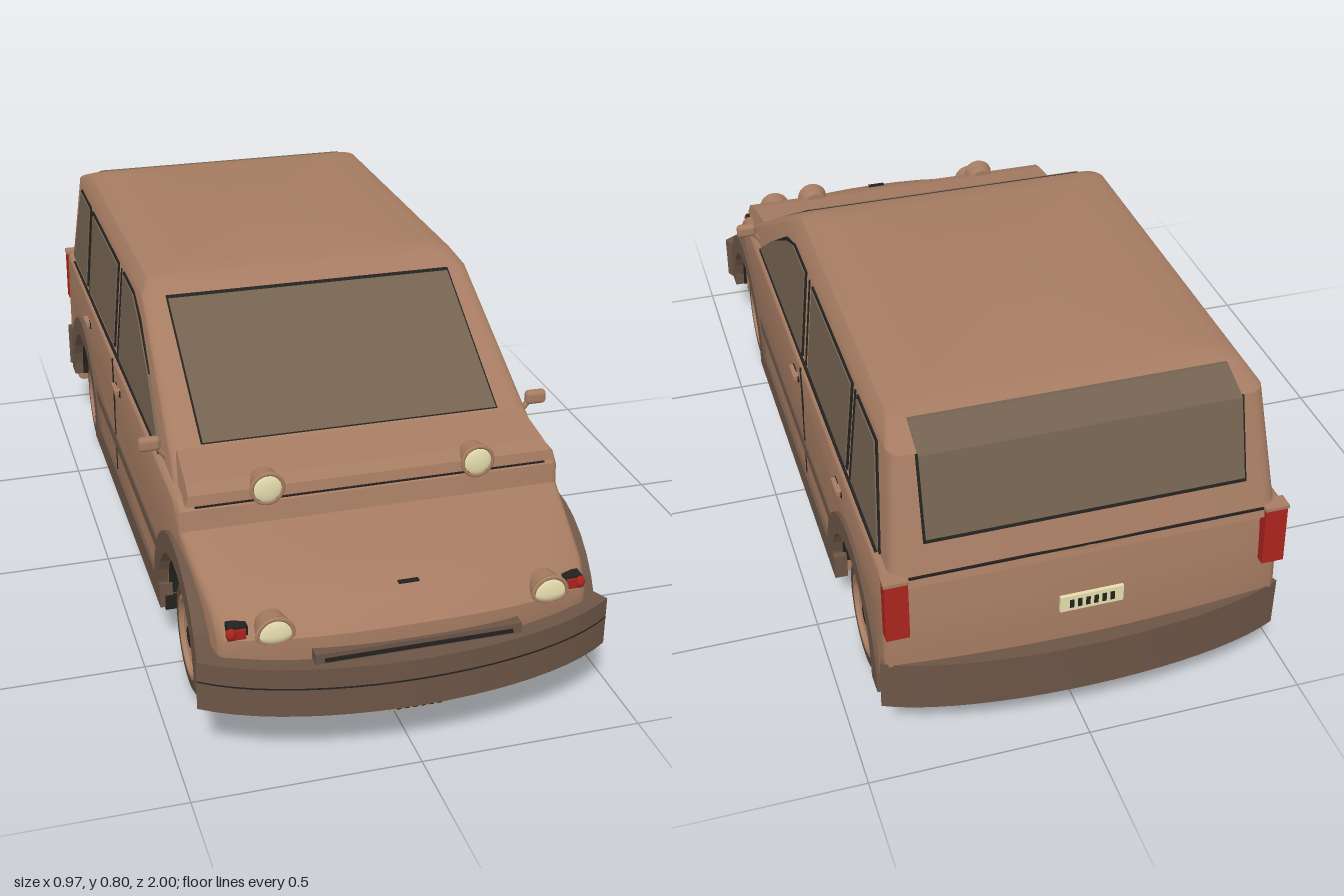
import * as THREE from 'three';
import { toCreasedNormals } from 'three/addons/utils/BufferGeometryUtils.js';
import { RoundedBoxGeometry } from 'three/addons/geometries/RoundedBoxGeometry.js';

const paint = (name, color, side = THREE.FrontSide) => {
  const m = new THREE.MeshStandardMaterial({ color, side });
  m.name = name;
  return m;
};

export function createModel() {
  const car = new THREE.Group();
  car.name = 'van';
  const tan = paint('tan paint', 0xa67c62), trim = paint('brown trim', 0x6c5546);
  const glass = paint('smoked glass', 0x736250), black = paint('black rubber', 0x232220, THREE.DoubleSide);
  const cream = paint('cream lens', 0xe8dfb0), red = paint('red lens', 0xa8241c);
  const tyreMat = paint('tyre', 0x5e4c3e);

  const add = (name, geo, mat, x = 0, y = 0, z = 0, parent = car) => {
    const m = new THREE.Mesh(geo, mat);
    m.name = name;
    m.position.set(x, y, z);
    parent.add(m);
    return m;
  };
  const box = (name, w, h, d, mat, x, y, z) => add(name, new THREE.BoxGeometry(w, h, d), mat, x, y, z);
  const shapeOf = (pts) => new THREE.Shape(pts.map(([a, b]) => new THREE.Vector2(a, b)));
  const bend = (geo, rule) => {
    const p = geo.attributes.position, v = new THREE.Vector3();
    for (let i = 0; i < p.count; i++) {
      rule(v.fromBufferAttribute(p, i));
      p.setXYZ(i, v.x, v.y, v.z);
    }
    geo.computeVertexNormals();
    return geo;
  };
  const extrude = (shape, depth) => new THREE.ExtrudeGeometry(shape, { depth, bevelEnabled: false, curveSegments: 20 });
  const rect = (a0, a1, b0, b1) => [[a0, b0], [a1, b0], [a1, b1], [a0, b1]];

  // Wheel positions along z, and the lower shell cut by two arches
  const wheelZ = [0.62, -0.65], wheelY = 0.15, archR = 0.19;
  const arch = (zc, r) => Array.from({ length: 17 }, (_, i) => {
    const a = Math.PI * (1 - i / 16);
    return [zc + r * Math.cos(a), wheelY + r * Math.sin(a)];
  });
  const outline = [[0.81, 0.135], [0.93, 0.14], [0.955, 0.26], [0.952, 0.32], [0.9, 0.367], [0.8, 0.4],
    [0.65, 0.432], [0.64, 0.475], [0.6, 0.492], [0.2, 0.5], [-0.3, 0.5], [-0.94, 0.505], [-0.955, 0.4],
    [-0.965, 0.28], [-0.95, 0.15], [-0.84, 0.13],
    ...arch(wheelZ[1], archR), [-0.46, 0.115], [0.43, 0.115], ...arch(wheelZ[0], archR)];
  const half = 0.44;
  const bodyGeo = new THREE.ExtrudeGeometry(shapeOf(outline), {
    depth: 2 * half - 0.03, steps: 12, bevelThickness: 0.015, bevelSize: 0.015, bevelOffset: -0.015, bevelSegments: 3 });
  bodyGeo.rotateY(-Math.PI / 2).translate(half - 0.015, 0, 0);
  bend(bodyGeo, (v) => {
    const a = Math.min(1, Math.abs(v.x) / half);
    if (v.z > 0.6) {
      const t = (v.z - 0.6) / 0.35;
      v.x *= 1 - 0.07 * t;
      v.z -= 0.075 * t * a ** 2.5;
      if (v.y > 0.3) v.y -= 0.02 * a * a * Math.min(1, t * 2);
    } else if (v.z < -0.86) v.z += 0.025 * a * a;
  });
  add('lowerBody', toCreasedNormals(bodyGeo, 0.6), tan);

  // Cabin lofted from rounded rectangles: y, front z, rear z, half width
  const levels = [[0.48, 0.587, -0.945, 0.427], [0.52, 0.52, -0.933, 0.422], [0.755, 0.128, -0.866, 0.402],
    [0.785, 0.078, -0.785, 0.38], [0.793, 0.055, -0.755, 0.35], [0.798, 0, -0.72, 0.28]];
  const pos = [], idx = [], n = 24;
  for (const [y, zf, zb, hw] of levels) {
    for (let j = 0; j < n; j++) {
      const q = Math.floor(j / 6), ang = (q + (j % 6) / 5) * Math.PI / 2, r = 0.035;
      const sx = q === 0 || q === 3 ? 1 : -1;
      pos.push(sx * (hw - r) + r * Math.cos(ang), y, (q < 2 ? zf - r : zb + r) + r * Math.sin(ang));
    }
  }
  for (let i = 0; i < levels.length - 1; i++) {
    for (let j = 0; j < n; j++) {
      const a = i * n + j, b = i * n + (j + 1) % n;
      idx.push(a, a + n, b, b, a + n, b + n);
    }
  }
  const top = (levels.length - 1) * n, mid = levels.length * n;
  pos.push(0, 0.801, -0.35);
  for (let j = 0; j < n; j++) idx.push(mid, top + (j + 1) % n, top + j);
  const cabin = new THREE.BufferGeometry();
  cabin.setAttribute('position', new THREE.Float32BufferAttribute(pos, 3));
  cabin.setIndex(idx);
  add('cabin', toCreasedNormals(cabin, 0.55), tan);

  // Cowl shelf ahead of the windscreen
  const cowl = extrude(shapeOf([[0.64, 0.485], [0.635, 0.508], [0.6, 0.52], [0.485, 0.543], [0.4, 0.49]]), 0.84);
  cowl.rotateY(-Math.PI / 2).translate(0.42, 0, 0);
  add('cowl', bend(cowl, (v) => { v.x *= 1 - 0.6 * Math.max(0, v.y - 0.485); }), tan);
  box('cowlGap', 0.8, 0.004, 0.01, black, 0, 0.482, 0.636);

  // Plates following the side (points are z, y), the front or the rear (points are x, y)
  const cabinX = (y) => 0.427 - 0.091 * (y - 0.48);
  const sidePlate = (name, s, pts, mat, thick, xOf) => {
    const g = extrude(shapeOf(pts.map(([z, y]) => [-s * z, y])), thick).rotateY(s * Math.PI / 2);
    return add(name, bend(g, (v) => { v.x += s * xOf(v.y); }), mat);
  };
  const endPlate = (name, s, pts, mat, thick, zOf) => {
    const g = extrude(shapeOf(pts), thick);
    if (s < 0) g.rotateY(Math.PI);
    return add(name, bend(g, (v) => { v.z += zOf(v.y); }), mat);
  };

  // Windscreen and rear window with seals
  const screenZ = (y) => 0.47 - (y - 0.55) / 0.6;
  endPlate('windscreenSeal', 1, rect(-0.349, 0.349, 0.547, 0.761), black, 0.004, screenZ);
  endPlate('windscreen', 1, rect(-0.345, 0.345, 0.55, 0.757), glass, 0.008, screenZ);
  const rearZ = (y) => (y <= 0.755 ? -0.866 - (0.755 - y) * 0.287 : -0.866 + (y - 0.755) * 2.7);
  endPlate('rearWindowSeal', -1, rect(-0.35, 0.35, 0.57, 0.755), black, 0.004, rearZ);
  endPlate('rearWindow', -1, rect(-0.345, 0.345, 0.58, 0.753), glass, 0.008, rearZ);
  endPlate('rearWindowTop', -1, rect(-0.345, 0.345, 0.755, 0.785), glass, 0.009, rearZ);

  const frontWindow = [[0.4, 0.508], [-0.11, 0.512], [-0.11, 0.732], [0.02, 0.732], [0.1, 0.7], [0.25, 0.615]];
  const windows = [frontWindow, rect(-0.57, -0.19, 0.518, 0.732),
    [[-0.625, 0.518], [-0.855, 0.518], [-0.775, 0.732], [-0.625, 0.732]]];
  const grow = (pts) => {
    const c = pts.reduce((a, p) => [a[0] + p[0] / pts.length, a[1] + p[1] / pts.length], [0, 0]);
    return pts.map(([z, y]) => [z + Math.sign(z - c[0]) * 0.008, y + Math.sign(y - c[1]) * 0.006]);
  };

  // Wheel profiles: radius, offset along the axle
  const lathe = (pts) => toCreasedNormals(
    new THREE.LatheGeometry(pts.map(([r, h]) => new THREE.Vector2(r, h)), 32).rotateZ(-Math.PI / 2), 0.6);
  const tyre = lathe([[0, -0.055], [0.12, -0.055], [0.137, -0.045], [0.144, -0.025], [0.144, 0.03], [0.137, 0.05],
    [0.122, 0.058], [0.098, 0.056], [0.09, 0.04], [0, 0.04]]);
  const rim = lathe([[0.1, 0.054], [0.096, 0.06], [0.087, 0.06], [0.083, 0.04]]);
  const hub = lathe([[0.077, 0.035], [0.074, 0.05], [0.058, 0.055], [0.048, 0.05], [0, 0.05]]);
  const cap = lathe([[0.024, 0.045], [0.024, 0.056], [0, 0.058]]);
  const lens = new THREE.SphereGeometry(1, 24, 14);

  for (const s of [1, -1]) {
    const side = s > 0 ? 'left' : 'right';
    windows.forEach((w, i) => {
      sidePlate(`${side}WindowSeal${i + 1}`, s, grow(w), black, 0.004, cabinX);
      sidePlate(`${side}Window${i + 1}`, s, w, glass, 0.007, cabinX);
    });
    // Door seams, handles, belt line, side stripe and sill
    for (const z of [-0.15, -0.598]) sidePlate(`${side}PillarSeam`, s, rect(z - 0.003, z + 0.003, 0.5, 0.735), black, 0.003, cabinX);
    box(`${side}DoorSeam`, 0.004, 0.32, 0.005, black, s * half, 0.335, -0.15);
    box(`${side}BeltLine`, 0.006, 0.006, 1.25, black, s * 0.43, 0.501, -0.22);
    for (const z of [-0.085, -0.54]) {
      box(`${side}HandleRecess`, 0.004, 0.017, 0.06, black, s * 0.44, 0.437, z);
      box(`${side}Handle`, 0.014, 0.011, 0.054, tan, s * 0.445, 0.44, z);
    }
    box(`${side}Stripe`, 0.01, 0.03, 0.86, trim, s * 0.439, 0.265, -0.015);
    box(`${side}Sill`, 0.03, 0.062, 0.92, trim, s * 0.432, 0.149, -0.02);
    box(`${side}MudFlap`, 0.2, 0.036, 0.012, black, s * 0.335, 0.13, 0.438);

    // Wheels, flares and arch liners
    wheelZ.forEach((z, i) => {
      const name = side + (i ? 'Rear' : 'Front');
      const ring = [...arch(z, 0.24), ...arch(z, archR).reverse()];
      sidePlate(`${name}Flare`, s, ring, trim, 0.045, () => 0.403);
      const liner = new THREE.CylinderGeometry(0.187, 0.187, 0.16, 24, 1, true, 0, Math.PI);
      add(`${name}Liner`, liner.rotateZ(Math.PI / 2), black, s * 0.345, wheelY, z);
      sidePlate(`${name}LinerWall`, s, arch(z, 0.187), black, 0.006, () => 0.262);
      const wheel = new THREE.Group();
      wheel.name = `${name}Wheel`;
      wheel.position.set(s * 0.362, wheelY - 0.003, z);
      wheel.rotation.y = s > 0 ? 0 : Math.PI;
      add('tyre', tyre, tyreMat, 0, 0, 0, wheel);
      add('rim', rim, tan, 0, 0, 0, wheel);
      add('hub', hub, tan, 0, 0, 0, wheel);
      add('hubCap', cap, black, 0, 0, 0, wheel);
      car.add(wheel);
    });

    // Round upper lamps and headlamps with a flattened lower edge
    const lamp = (name, x, y, z, r, len, flat) => {
      const squash = (g) => bend(g, (v) => { if (v.y < 0) v.y *= flat; });
      const shell = new THREE.CylinderGeometry(r, r * 0.8, len, 28).rotateX(Math.PI / 2);
      add(`${name}Shell`, squash(shell), tan, s * x, y, z - len / 2);
      add(`${name}Rim`, squash(new THREE.TorusGeometry(r - 0.003, 0.005, 8, 28)), tan, s * x, y, z);
      add(`${name}Lens`, squash(lens.clone().scale(r * 0.87, r * 0.87, 0.008)), cream, s * x, y, z);
    };
    lamp(`${side}UpperLamp`, 0.24, 0.505, 0.638, 0.038, 0.045, 1);
    lamp(`${side}Headlamp`, 0.3, 0.328, 0.928, 0.041, 0.05, 0.5);
    box(`${side}MarkerBase`, 0.042, 0.03, 0.03, black, s * 0.37, 0.32, 0.877);
    box(`${side}Marker`, 0.026, 0.022, 0.03, red, s * 0.367, 0.32, 0.883);
    add(`${side}MarkerBulb`, lens, red, s * 0.385, 0.321, 0.892).scale.set(0.011, 0.014, 0.012);
    box(`${side}TailLamp`, 0.05, 0.14, 0.03, red, s * 0.416, 0.43, -0.94).rotation.x = 0.06;
    box(`${side}TailLampCap`, 0.054, 0.008, 0.036, tan, s * 0.416, 0.503, -0.936);

    // Mirror on a slanted stalk
    const path = new THREE.LineCurve3(new THREE.Vector3(s * 0.41, 0.495, 0.44), new THREE.Vector3(s * 0.445, 0.54, 0.44));
    add(`${side}MirrorStalk`, new THREE.TubeGeometry(path, 1, 0.007, 8), tan);
    add(`${side}Mirror`, new RoundedBoxGeometry(0.05, 0.033, 0.024, 3, 0.01), tan, s * 0.458, 0.545, 0.44);
  }

  // Curved bumpers, drawn in plan
  const bumper = (name, endZ, pull, depth, y0, y1, s, mat, w = 0.458) => {
    const p = new THREE.Shape();
    p.moveTo(-w, endZ);
    p.bezierCurveTo(-0.25, pull, 0.25, pull, w, endZ);
    p.lineTo(w - 0.03, endZ - depth);
    p.bezierCurveTo(0.25, pull - depth, -0.25, pull - depth, 0.03 - w, endZ - depth);
    const g = extrude(p, y1 - y0).rotateX(Math.PI / 2).translate(0, y1, 0);
    add(name, toCreasedNormals(g, 0.6), mat).rotation.y = s > 0 ? 0 : Math.PI;
  };
  bumper('frontBumper', 0.885, 1.034, 0.06, 0.147, 0.262, 1, trim);
  bumper('frontBumperGroove', 0.886, 1.036, 0.02, 0.213, 0.216, 1, black);
  bumper('rearBumper', 0.93, 1.022, 0.07, 0.15, 0.272, -1, trim, 0.45);

  // Grille, bonnet latch and number plates
  box('grille', 0.45, 0.024, 0.03, trim, 0, 0.276, 0.948);
  box('grilleSlot', 0.41, 0.009, 0.004, black, 0, 0.273, 0.964);
  box('bonnetLatch', 0.045, 0.003, 0.012, black, 0, 0.378, 0.878);
  box('tailgateSeam', 0.8, 0.006, 0.01, black, 0, 0.5, -0.936);
  const plate = (name, y, z, s, tilt) => {
    const g = new THREE.Group();
    g.name = `${name}Plate`;
    g.position.set(0, y, z);
    g.rotation.x = tilt;
    add('plate', new THREE.BoxGeometry(0.14, 0.04, 0.008), cream, 0, 0, 0, g);
    const bar = new THREE.BoxGeometry(0.009, 0.02, 0.003);
    for (let i = -2.5; i < 3; i++) add('plateBar', bar, black, i * 0.018, 0, s * 0.005, g);
    car.add(g);
  };
  plate('front', 0.138, 0.972, 1, 0.6);
  plate('rear', 0.37, -0.964, -1, 0);

  // Underside
  box('engineBlock', 0.16, 0.14, 0.14, tan, 0.04, 0.24, 0.66);
  add('rearAxleTube', new THREE.CylinderGeometry(0.06, 0.06, 0.52, 20).rotateZ(Math.PI / 2), tan, 0, 0.22, wheelZ[1]);
  return car;
}
